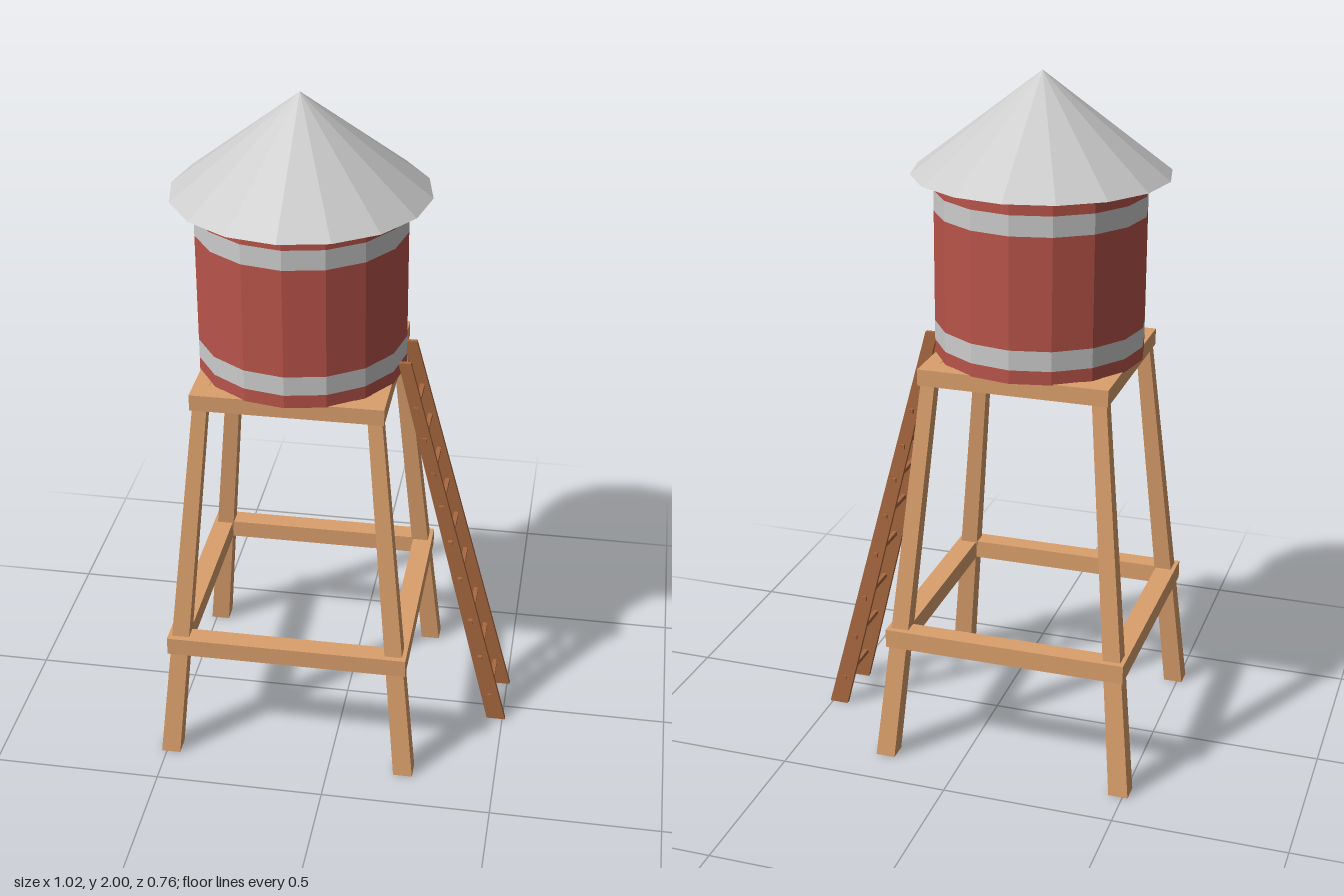
import * as THREE from 'three';

const paint = (color) => new THREE.MeshStandardMaterial({ color, flatShading: true });

export function createModel() {
  const model = new THREE.Group();
  const wood = paint(0xdb9f6c), ladderWood = paint(0xa9683f), red = paint(0xb9544a), metal = paint(0xcccccc);

  function add(parent, name, geometry, material, x = 0, y = 0, z = 0) {
    const mesh = new THREE.Mesh(geometry, material);
    mesh.name = name;
    mesh.position.set(x, y, z);
    parent.add(mesh);
    return mesh;
  }
  function group(name, x = 0) {
    const g = new THREE.Group();
    g.name = name;
    g.position.x = x;
    model.add(g);
    return g;
  }

  // Leaning, tapering post; each end is [y, centreX, centreZ, widthX, widthZ]
  function post(low, high) {
    const geo = new THREE.BoxGeometry(1, 1, 1);
    const p = geo.attributes.position;
    for (let i = 0; i < p.count; i++) {
      const [y, x, z, w, d] = p.getY(i) < 0 ? low : high;
      p.setXYZ(i, x + p.getX(i) * w, y, z + p.getZ(i) * d);
    }
    geo.computeVertexNormals();
    return geo;
  }

  // Square frame of four beams
  function frame(parent, name, half, thick, y0, y1) {
    const h = y1 - y0, y = (y0 + y1) / 2, c = half - thick / 2;
    for (const s of [-1, 1]) {
      add(parent, name, new THREE.BoxGeometry(2 * half, h, thick), wood, 0, y, s * c);
      add(parent, name, new THREE.BoxGeometry(thick, h, 2 * (half - thick)), wood, s * c, y, 0);
    }
  }

  // Wooden stand
  const stand = group('stand', -0.13);
  for (const sx of [-1, 1]) for (const sz of [-1, 1]) {
    add(stand, 'leg', post(
      [0, sx * 0.357, sz * 0.35, 0.057, 0.057],
      [1.185, sx * 0.245, sz * 0.243, 0.041, 0.041]), wood);
  }
  frame(stand, 'brace', 0.356, 0.06, 0.355, 0.41);
  frame(stand, 'platformEdge', 0.275, 0.045, 1.15, 1.198);
  add(stand, 'platformDeck', new THREE.BoxGeometry(0.47, 0.016, 0.47), wood, 0, 1.189, 0);

  // Tank barrel, stacked in painted and metal sections
  const tank = group('tank', -0.13);
  const levels = [1.196, 1.235, 1.292, 1.612, 1.67, 1.718];
  for (let i = 0; i < 5; i++) {
    const band = i % 2 === 1, h = levels[i + 1] - levels[i];
    const open = i > 0;
    add(tank, band ? 'band' : 'barrel', new THREE.CylinderGeometry(0.301, 0.301, h, 16, 1, open),
      band ? metal : red, 0, levels[i] + h / 2, 0);
  }

  // Faceted conical roof
  add(tank, 'roof', new THREE.ConeGeometry(0.366, 0.284, 16), metal, 0, 1.858, 0);

  // Slightly crooked ladder
  const ladder = group('ladder');
  const railX = (y) => 0.48 - 0.247 * y;
  const rails = [[0.058, 0.067], [-0.122, -0.071]];
  for (const [zLow, zHigh] of rails) {
    add(ladder, 'ladderRail', post(
      [0, railX(0), zLow, 0.057, 0.015],
      [1.24, railX(1.24), zHigh, 0.036, 0.013]), ladderWood);
  }
  // Each rung: height and its two ends in z
  const rungs = [
    [0.09, 0.074, -0.13], [0.235, 0.078, -0.125], [0.37, 0.08, -0.12],
    [0.52, 0.082, -0.115], [0.65, 0.083, -0.108], [0.77, 0.08, -0.104],
    [0.88, 0.075, -0.1], [0.995, 0.078, -0.098], [1.095, 0.08, -0.094]];
  for (const [y, z0, z1] of rungs) {
    add(ladder, 'rung', new THREE.BoxGeometry(0.013, 0.013, z0 - z1), ladderWood, railX(y), y, (z0 + z1) / 2);
  }

  return model;
}
